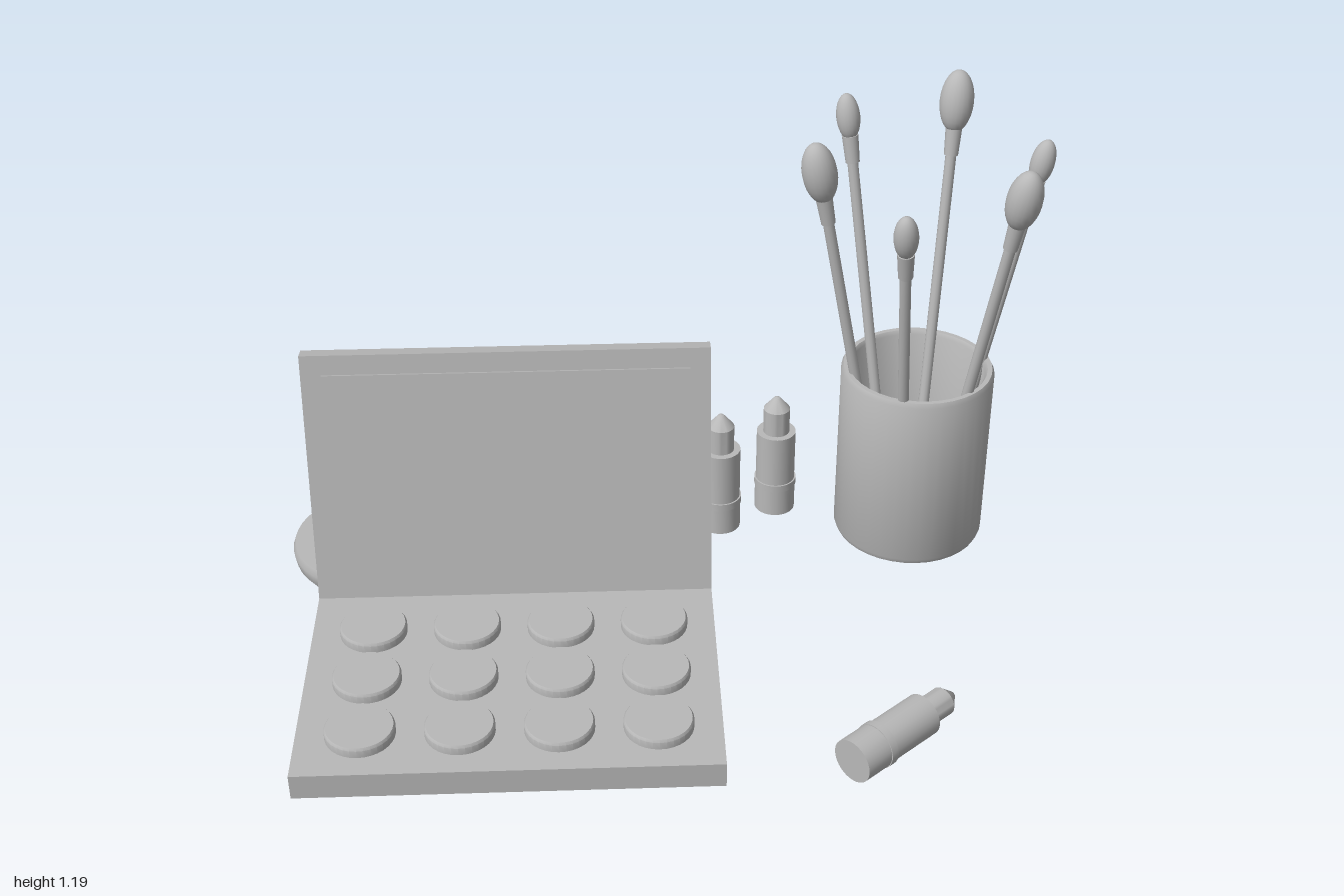
import * as THREE from 'three';
import { toCreasedNormals } from 'three/addons/utils/BufferGeometryUtils.js';

const grey = new THREE.MeshStandardMaterial({ color: 0xb8b8b8 });
grey.name = 'grey';
const UP = new THREE.Vector3(0, 1, 0);

function add(parent, name, geometry, x = 0, y = 0, z = 0) {
  const mesh = new THREE.Mesh(geometry, grey);
  mesh.name = name;
  mesh.position.set(x, y, z);
  parent.add(mesh);
  return mesh;
}

function group(parent, name, x = 0, y = 0, z = 0) {
  const g = new THREE.Group();
  g.name = name;
  g.position.set(x, y, z);
  parent.add(g);
  return g;
}

// Turned solid from [radius, height] pairs, listed from the bottom up the outside
function turned(profile, sides = 32) {
  const points = profile.map(([r, y]) => new THREE.Vector2(r, y));
  return toCreasedNormals(new THREE.LatheGeometry(points, sides), 0.6);
}

// Open palette: base, 4 x 3 pans, tilted lid with mirror
function addPalette(model) {
  const W = 0.985, D = 0.65, H = 0.065, tilt = THREE.MathUtils.degToRad(10);
  const palette = group(model, 'palette', -0.46, 0.005, 0.185);
  palette.rotation.y = -tilt;
  add(palette, 'paletteBase', new THREE.BoxGeometry(W, H, D), 0, H / 2, 0);

  const pan = turned([[0, 0], [0.082, 0], [0.082, 0.019], [0.078, 0.025], [0, 0.025]]);
  for (let col = 0; col < 4; col++) {
    for (let row = 0; row < 3; row++) {
      add(palette, 'pan', pan, (col - 1.5) * 0.229, H, (row - 1) * 0.187);
    }
  }

  const lid = group(palette, 'lid', 0, H, -D / 2);
  lid.rotation.x = -tilt;
  add(lid, 'lidPanel', new THREE.BoxGeometry(W, D, 0.04), 0, D / 2, -0.02);
  add(lid, 'mirror', new THREE.BoxGeometry(W - 0.1, D - 0.1, 0.006), 0, D / 2, 0.003);
}

// Brush: handle, ferrule and egg-shaped head from a foot point to a head centre
function addBrush(cup, foot, head, radius, halfLength) {
  const axis = head.clone().sub(foot);
  const reach = axis.length();
  const brush = group(cup, 'brush', foot.x, foot.y, foot.z);
  brush.quaternion.setFromUnitVectors(UP, axis.normalize());
  const ferruleLength = 0.07, neck = reach - halfLength + 0.012;
  const handleLength = neck - ferruleLength + 0.01;
  add(brush, 'handle', new THREE.CylinderGeometry(0.014, 0.014, handleLength, 12), 0, handleLength / 2, 0);
  add(brush, 'ferrule', new THREE.CylinderGeometry(0.021, 0.018, ferruleLength, 16), 0, neck - ferruleLength / 2, 0);
  add(brush, 'bristles', new THREE.SphereGeometry(1, 20, 14), 0, reach, 0)
    .scale.set(radius, halfLength, radius);
}

// Hollow cup holding six brushes, alternately small and large
function addBrushCup(model) {
  const cup = group(model, 'brushCup', 0.68, 0.005, -0.3);
  add(cup, 'cup', turned([
    [0, 0], [0.175, 0], [0.19, 0.008], [0.196, 0.022], [0.196, 0.488], [0.19, 0.5],
    [0.178, 0.5], [0.172, 0.49], [0.172, 0.04], [0.16, 0.025], [0, 0.025],
  ], 36));
  const tops = [1.1, 1.19, 1.155, 1.15, 1.065, 1.15];
  tops.forEach((top, i) => {
    const angle = i * Math.PI / 3, large = i % 2 === 1;
    const halfLength = large ? 0.08 : 0.06;
    const at = (r, y) => new THREE.Vector3(r * Math.cos(angle), y, -r * Math.sin(angle));
    addBrush(cup, at(0.075, 0.027), at(0.283, top - halfLength), large ? 0.043 : 0.03, halfLength);
  });
}

// Lipsticks: two standing, one lying on its side
function addLipsticks(model) {
  const tube = turned([
    [0, 0], [0.054, 0], [0.054, 0.075], [0.056, 0.075], [0.056, 0.095],
    [0.052, 0.095], [0.052, 0.24], [0, 0.24],
  ]);
  const bullet = turned([[0, 0.23], [0.035, 0.23], [0.035, 0.31], [0.008, 0.343], [0, 0.346]]);
  const place = (x, y, z) => {
    const lipstick = group(model, 'lipstick', x, y, z);
    add(lipstick, 'lipstickTube', tube);
    add(lipstick, 'lipstickBullet', bullet);
    return lipstick;
  };
  place(0.19, 0.005, -0.413);
  place(0.355, 0.005, -0.466);
  const lying = place(0.252, 0.056, 0.627);
  lying.quaternion.setFromUnitVectors(UP, new THREE.Vector3(0.866, 0, -0.5).normalize());
}

export function createModel() {
  const model = new THREE.Group();
  model.name = 'makeupSet';
  addPalette(model);
  addBrushCup(model);
  addLipsticks(model);
  // Round powder compact
  add(model, 'compact', turned([
    [0, 0], [0.19, 0], [0.2, 0.015], [0.205, 0.045], [0.198, 0.063], [0, 0.063],
  ], 40), -0.735, 0.005, -0.47);
  return model;
}
